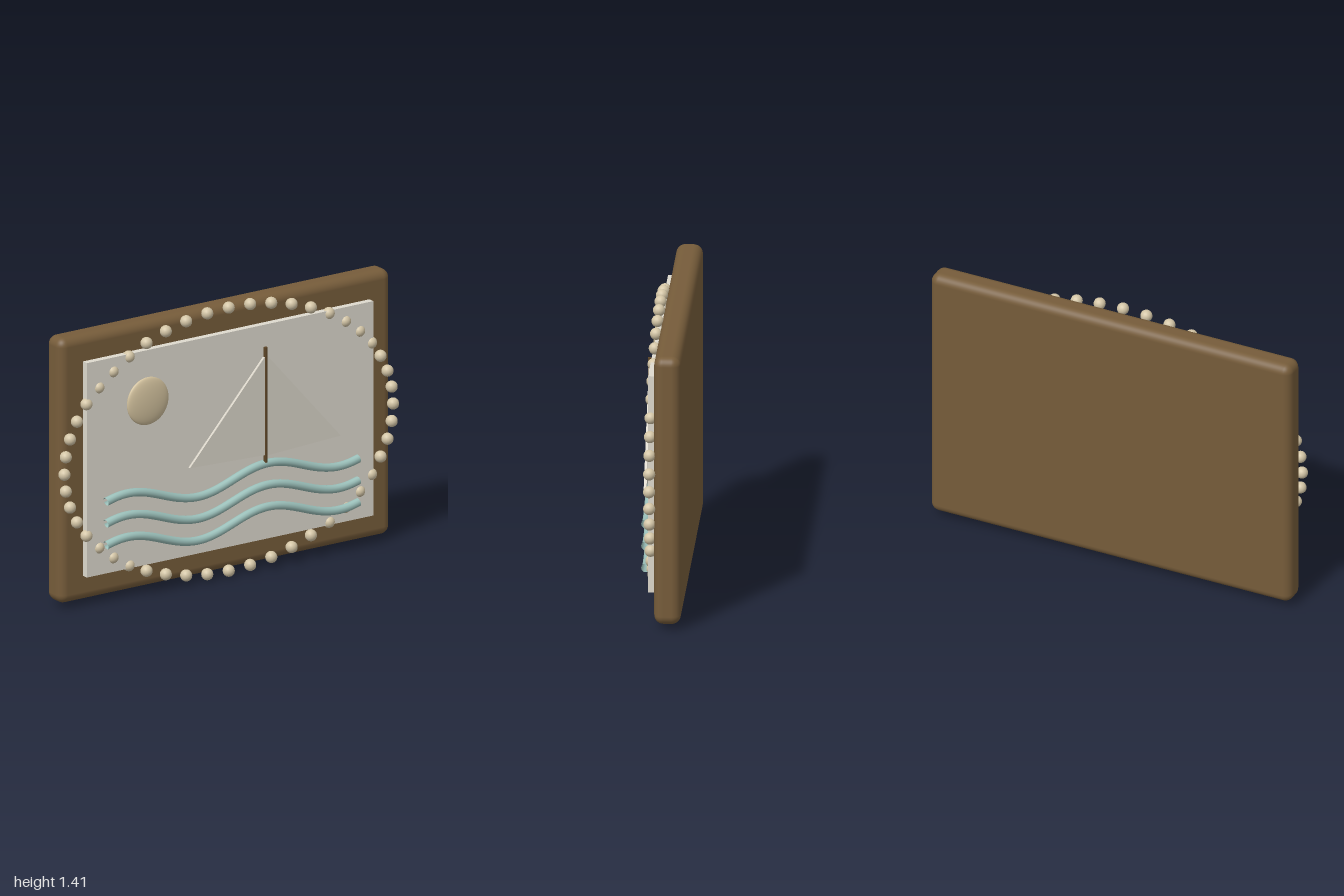
import * as THREE from 'three';
import { RoundedBoxGeometry } from 'three/addons/geometries/RoundedBoxGeometry.js';

const CY = 0.708; // height of the picture's centre

function material(name, color, side = THREE.FrontSide) {
  const m = new THREE.MeshStandardMaterial({ color, side });
  m.name = name;
  return m;
}

export function createModel() {
  const group = new THREE.Group();
  group.name = 'seascapePlaque';
  const wood = material('wood', 0x765c3a);
  const canvas = material('canvas', 0xdedace);
  const sailcloth = material('sailcloth', 0xdad5c9);
  const shell = material('shell', 0xd3c5a6);
  const sand = material('sand', 0xd2c19d);
  const water = material('water', 0x9bc0ba, THREE.DoubleSide);
  const spar = material('spar', 0x5c4426);

  function add(name, geometry, mat, x = 0, y = 0, z = 0, parent = group) {
    const mesh = new THREE.Mesh(geometry, mat);
    mesh.name = name;
    mesh.position.set(x, y, z);
    parent.add(mesh);
    return mesh;
  }

  // Wooden backing and picture panel
  add('backingBoard', new RoundedBoxGeometry(1.956, 1.36, 0.13, 4, 0.045), wood, 0, CY + 0.002, -0.043);
  add('picturePanel', new THREE.BoxGeometry(1.69, 1.1, 0.034), canvas, 0, CY + 0.002, 0.04);

  // Oval ring of beads
  const beads = new THREE.Group();
  beads.name = 'beadRing';
  group.add(beads);
  const beadGeometry = new THREE.SphereGeometry(0.03, 16, 12);
  const count = 48;
  for (let i = 0; i < count; i++) {
    const a = (i / count) * Math.PI * 2;
    add('bead', beadGeometry, shell, 0.97 * Math.cos(a), CY + 0.675 * Math.sin(a), 0.045, beads);
  }

  // Flattened sun disc
  const sun = add('sun', new THREE.SphereGeometry(0.122, 40, 24), sand, -0.505, 1.01, 0.084);
  sun.scale.z = 0.2;

  // Waves
  for (let row = 0; row < 3; row++) {
    const points = [];
    for (let i = 0; i <= 30; i++) {
      const x = -0.745 + (1.49 * i) / 30;
      points.push(new THREE.Vector3(x, 0.507 - row * 0.112 + 0.048 * Math.cos((2 * Math.PI * (x + 0.62)) / 0.83), 0.076));
    }
    const curve = new THREE.CatmullRomCurve3(points);
    add('wave', new THREE.TubeGeometry(curve, 80, 0.021, 12), water);
  }

  // Boat: mast and two triangular sails
  add('mast', new THREE.CylinderGeometry(0.01, 0.01, 0.59, 12), spar, 0.19, 0.86, 0.086);
  function sail(name, corners) {
    const shape = new THREE.Shape(corners.map(([x, y]) => new THREE.Vector2(x, y)));
    add(name, new THREE.ExtrudeGeometry(shape, { depth: 0.014, bevelEnabled: false }), sailcloth, 0, 0, 0.077);
  }
  sail('rightSail', [[-0.26, 0.62], [0.184, 0.604], [0.184, 1.11]]);
  sail('leftSail', [[0.198, 0.6], [0.63, 0.62], [0.198, 1.11]]);

  return group;
}
